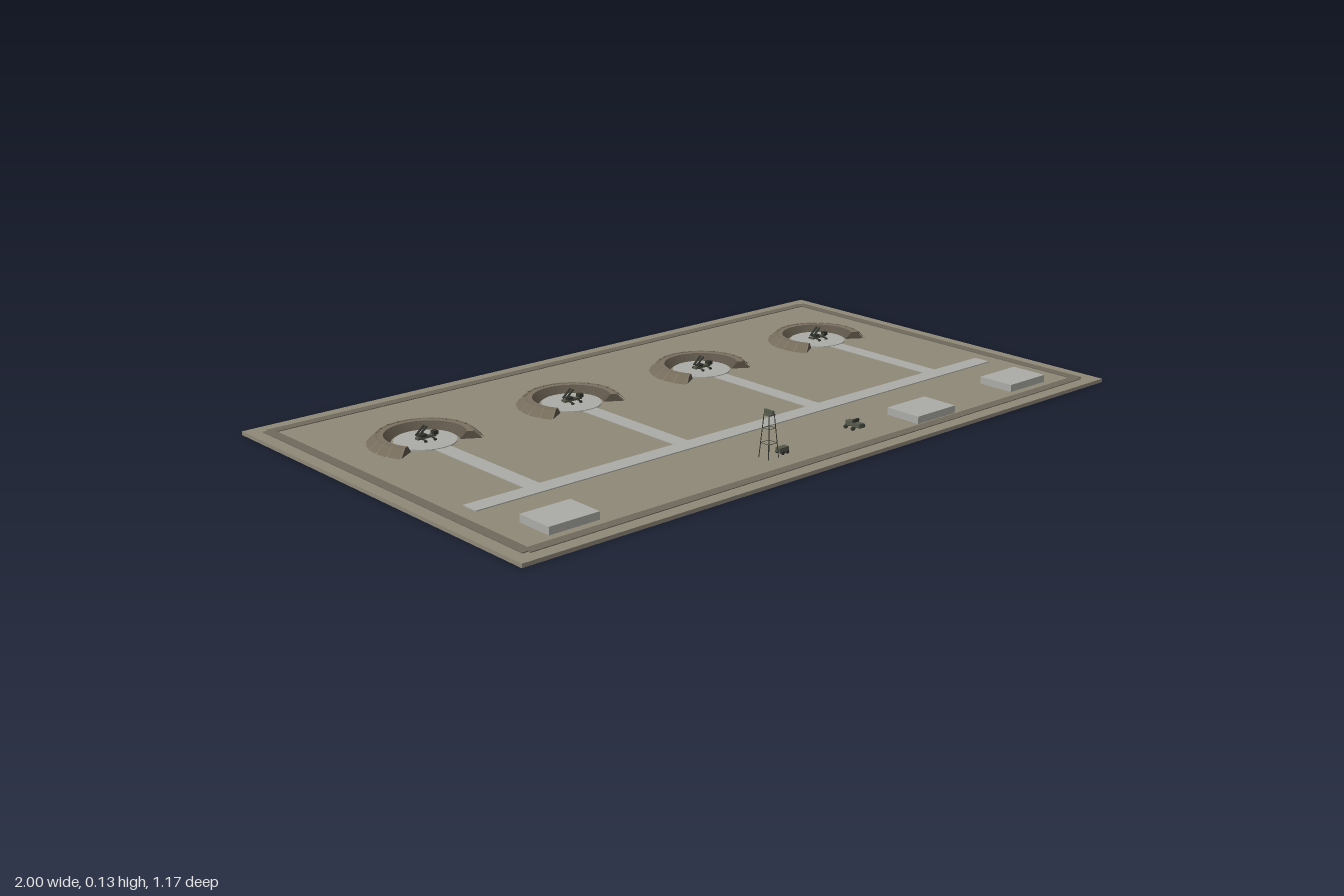
import * as THREE from 'three';

const mat = (color) => new THREE.MeshStandardMaterial({ color, flatShading: true, side: THREE.DoubleSide });
const earth = mat(0x8f8878), edge = mat(0x6f695c), paving = mat(0xabaca6);
const berm = mat(0x7a7161), bermDark = mat(0x5c5448), bag = mat(0x746b5b);
const olive = mat(0x55584a), dark = mat(0x33352e);
const GROUND = 0.01;

function add(parent, name, geometry, material, x = 0, y = 0, z = 0) {
  const mesh = new THREE.Mesh(geometry, material);
  mesh.name = name;
  mesh.position.set(x, y, z);
  parent.add(mesh);
  return mesh;
}

// Box given by its footprint centre, base height and size
function box(parent, name, material, x, y, z, w, h, d) {
  return add(parent, name, new THREE.BoxGeometry(w, h, d), material, x, y + h / 2, z);
}

// Thin rod between two points
function rod(parent, name, a, b, radius, material) {
  const from = new THREE.Vector3(...a), to = new THREE.Vector3(...b);
  const dir = to.clone().sub(from);
  const mesh = add(parent, name, new THREE.CylinderGeometry(radius, radius, dir.length(), 6), material);
  mesh.position.copy(from).addScaledVector(dir, 0.5);
  mesh.quaternion.setFromUnitVectors(new THREE.Vector3(0, 1, 0), dir.normalize());
  return mesh;
}

function group(parent, name, x, y, z) {
  const g = new THREE.Group();
  g.name = name;
  g.position.set(x, y, z);
  parent.add(g);
  return g;
}

// Sloped horseshoe bank, open towards +z
function buildBank(parent) {
  const start = THREE.MathUtils.degToRad(58), length = Math.PI * 2 - start * 2;
  const profile = [[0.141, 0], [0.119, 0.02], [0.104, 0.02]].map((p) => new THREE.Vector2(...p));
  add(parent, 'bank', new THREE.LatheGeometry(profile, 32, start, length), berm);
  const inner = [[0.104, 0.02], [0.086, 0]].map((p) => new THREE.Vector2(...p));
  add(parent, 'bankInnerSlope', new THREE.LatheGeometry(inner, 32, start, length), bermDark);
  const section = new THREE.Shape([...profile, inner[1]]);
  for (const phi of [start, start + length]) {
    add(parent, 'bankEnd', new THREE.ShapeGeometry(section), bermDark).rotation.y = phi - Math.PI / 2;
  }
  // Facing blocks with narrow joints
  const count = 16, step = length / count;
  const facing = [[0.147, 0], [0.125, 0.021], [0.119, 0.021], [0.119, 0.018]].map((p) => new THREE.Vector2(...p));
  for (let i = 0; i < count; i++) {
    add(parent, 'facingBlock', new THREE.LatheGeometry(facing, 1, start + (i + 0.06) * step, step * 0.88), bag);
  }
}

// Small launcher on four outriggers with a raised rail
function buildLauncher(parent) {
  const g = group(parent, 'launcher', 0.002, 0.004, 0);
  box(g, 'chassis', olive, 0, 0.004, 0, 0.056, 0.006, 0.012);
  box(g, 'cab', dark, 0.026, 0.008, 0, 0.014, 0.01, 0.014);
  box(g, 'turntable', dark, -0.01, 0.01, 0, 0.018, 0.006, 0.016);
  for (const x of [-0.014, 0.014]) for (const z of [-0.02, 0.02]) {
    box(g, 'outrigger', dark, x, 0.003, z / 2, 0.003, 0.003, 0.02);
    box(g, 'foot', dark, x, 0, z, 0.007, 0.004, 0.006);
  }
  for (const z of [-0.006, 0.006]) {
    rod(g, 'rail', [-0.026, 0.014, z], [0.0, 0.036, z], 0.0028, dark);
  }
}

function buildEmplacement(parent, x) {
  const g = group(parent, 'emplacement', x, GROUND, -0.214);
  add(g, 'pad', new THREE.CylinderGeometry(0.08, 0.08, 0.004, 32), paving, 0, 0.002, 0);
  buildBank(g);
  buildLauncher(g);
  box(parent, 'accessPath', paving, x, GROUND, 0.04, 0.046, 0.002, 0.38);
}

// Tapered lattice mast with a panel antenna
function buildMast(parent) {
  const g = group(parent, 'radarMast', -0.146, GROUND, 0.446);
  const h = 0.108;
  const corners = [[-1, -1], [1, -1], [1, 1], [-1, 1]];
  const at = (i, t) => {
    const r = 0.017 - 0.008 * t, [cx, cz] = corners[i % 4];
    return [cx * r, h * t, cz * r];
  };
  for (let i = 0; i < 4; i++) {
    rod(g, 'leg', at(i, 0), at(i, 1), 0.0011, dark);
    for (const t of [0.35, 0.7]) rod(g, 'brace', at(i, t), at(i + 1, t), 0.0006, dark);
  }
  box(g, 'platform', olive, 0, h, 0, 0.02, 0.003, 0.022);
  box(g, 'antenna', olive, 0, h + 0.003, 0, 0.006, 0.01, 0.03);
}

// Wheeled trailer; its long axis lies along z
function buildTrailer(parent, name, x, z, length, width, reach) {
  const g = group(parent, name, x, GROUND, z);
  box(g, 'body', olive, 0, 0.005, 0, width, 0.012, length);
  for (const s of [-1, 1]) for (const k of [-0.25, 0.25]) {
    const wheel = add(g, 'wheel', new THREE.CylinderGeometry(0.005, 0.005, 0.006, 10), dark, s * reach, 0.005, k * length);
    wheel.rotation.z = Math.PI / 2;
    rod(g, 'axle', [0, 0.005, k * length], [s * reach, 0.005, k * length], 0.0012, dark);
  }
  return g;
}

export function createModel() {
  const model = new THREE.Group();
  model.name = 'fieldSite';

  // Ground slab with a raised border strip
  box(model, 'ground', earth, 0, 0, 0, 2, GROUND, 1.174);
  for (const s of [-1, 1]) {
    box(model, 'borderLong', edge, 0, GROUND, s * 0.537, 1.9, 0.002, 0.028);
    box(model, 'borderShort', edge, s * 0.951, GROUND, 0, 0.028, 0.0021, 1.085);
  }

  // Four emplacements joined by a service road
  for (let i = 0; i < 4; i++) buildEmplacement(model, -0.697 + i * 0.464);
  box(model, 'serviceRoad', paving, 0, GROUND, 0.249, 1.786, 0.0025, 0.05);

  // Low shelters
  for (const [x, z] of [[-0.788, 0.445], [0.39, 0.463], [0.785, 0.445]]) {
    box(model, 'shelter', paving, x, GROUND, z, 0.143, 0.02, 0.106);
  }

  // Equipment
  buildMast(model);
  buildTrailer(model, 'controlCabin', -0.1, 0.446, 0.03, 0.016, 0.009).rotation.y = Math.PI / 2;
  const radar = buildTrailer(model, 'radarTrailer', 0.175, 0.428, 0.05, 0.015, 0.019);
  box(radar, 'radarPanel', dark, 0, 0.017, 0.004, 0.02, 0.008, 0.006);
  return model;
}
